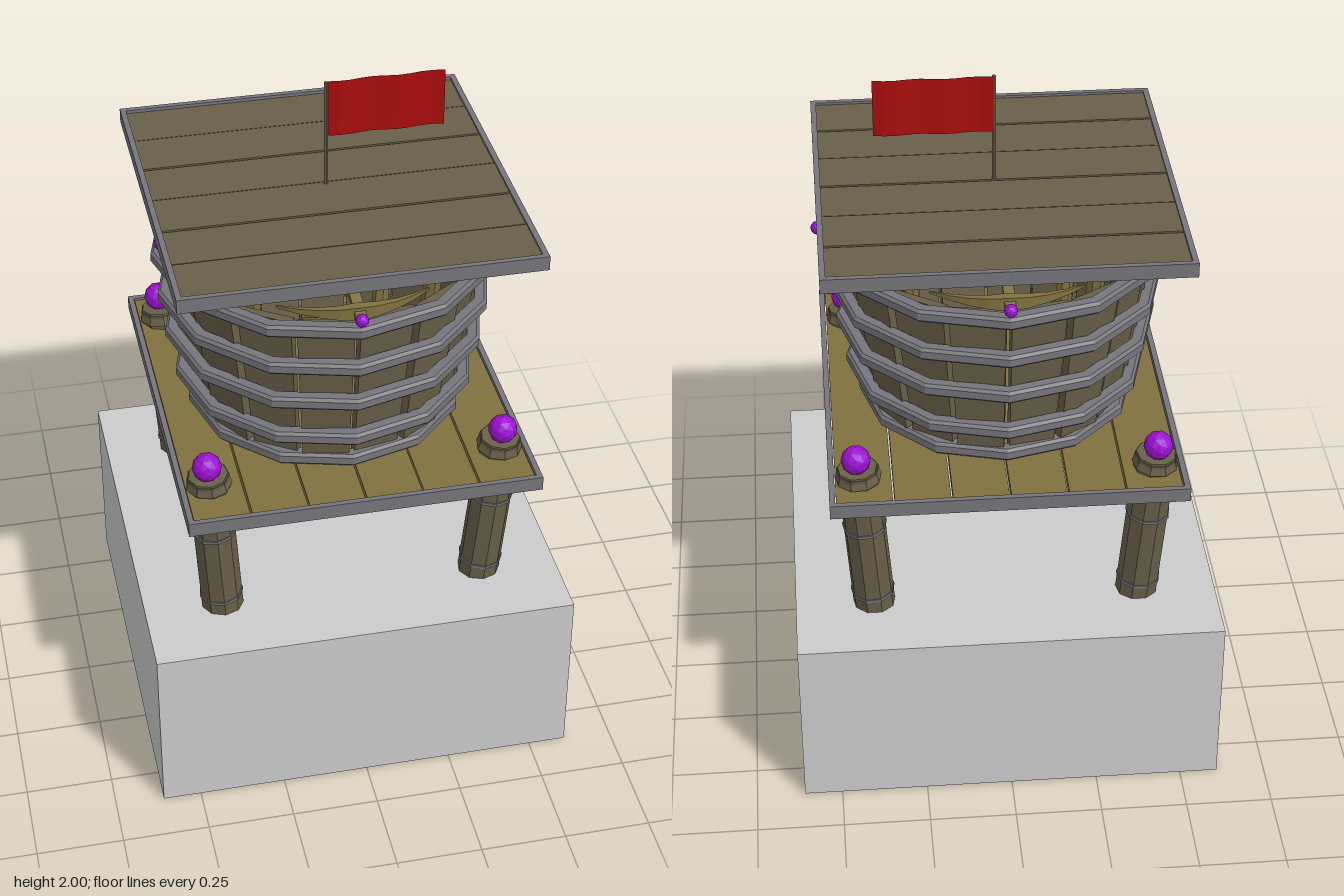
import * as THREE from 'three';

const mat = (color, extra = {}) => {
  const m = new THREE.MeshStandardMaterial({ color, flatShading: true });
  return Object.assign(m, extra);
};

export function createModel() {
  const model = new THREE.Group();
  const grey = mat(0xcccccc), wood = mat(0x696049), paleWood = mat(0x80713f);
  const iron = mat(0x75757b), purple = mat(0x9a10d0);
  const red = mat(0xaa0d0d, { side: THREE.DoubleSide });

  const add = (name, geo, material, x = 0, y = 0, z = 0, parent = model) => {
    const mesh = new THREE.Mesh(geo, material);
    mesh.name = name;
    mesh.position.set(x, y, z);
    parent.add(mesh);
    return mesh;
  };
  const box = (w, h, d) => new THREE.BoxGeometry(w, h, d);
  const up = new THREE.Vector3(0, 1, 0);
  // straight round post between two points
  const post = (name, a, b, rTop, rBottom, sides, material, parent = model) => {
    const dir = b.clone().sub(a);
    const mesh = add(name, new THREE.CylinderGeometry(rTop, rBottom, dir.length(), sides), material, 0, 0, 0, parent);
    mesh.position.copy(a).lerp(b, 0.5);
    mesh.quaternion.setFromUnitVectors(up, dir.normalize());
    return mesh;
  };

  // stone block
  add('base', box(1.22, 0.53, 1.22), grey, 0, 0.265, 0);

  // square deck: planks inside an iron frame
  const deck = (name, y, zc, depth, alongX, material) => {
    const g = new THREE.Group();
    g.name = name;
    g.position.set(0, y, zc);
    model.add(g);
    const t = 0.016, inW = 1.0 - 2 * t, inD = depth - 2 * t;
    const step = (alongX ? inD : inW) / 6;
    for (let i = 0; i < 6; i++) {
      const p = (i - 2.5) * step;
      const geo = alongX ? box(inW, 0.026, step - 0.005) : box(step - 0.005, 0.026, inD);
      add('plank', geo, material, alongX ? 0 : p, (i % 2) * 0.002, alongX ? p : 0, g);
    }
    for (const s of [-1, 1]) {
      add('frameSide', box(t, 0.042, depth), iron, s * (0.5 - t / 2), 0, 0, g);
      add('frameEnd', box(inW, 0.042, t), iron, 0, 0, s * (depth - t) / 2, g);
    }
  };
  deck('platform', 0.976, 0.018, 1.135, false, paleWood);
  deck('roof', 1.668, 0.015, 1.015, true, wood);

  // splayed legs with bands, collars and faceted knobs
  for (const sx of [-1, 1]) for (const sz of [-1, 1]) {
    const leg = new THREE.Group();
    leg.name = 'leg';
    model.add(leg);
    const a = new THREE.Vector3(sx * 0.382, 0.52, sz * 0.382);
    const b = new THREE.Vector3(sx * 0.418, 1.03, sz * 0.422);
    const at = y => a.clone().lerp(b, (y - a.y) / (b.y - a.y));
    post('legPost', a, b, 0.06, 0.061, 9, wood, leg);
    for (const y of [0.58, 0.825]) post('legBand', at(y - 0.005), at(y + 0.005), 0.064, 0.064, 9, iron, leg);
    post('legCollar', at(1.0), at(1.035), 0.056, 0.066, 9, wood, leg);
    add('knob', new THREE.IcosahedronGeometry(0.042, 1), purple, sx * 0.422, 1.066, sz * 0.431, leg);
  }

  // flared tub of staves and hoops
  const tub = new THREE.Group();
  tub.name = 'tub';
  tub.position.set(-0.005, 0, 0.025);
  model.add(tub);
  const staves = 16, y0 = 0.995, y1 = 1.515;
  for (let i = 0; i < staves; i++) {
    const geo = box(1, y1 - y0, 0.026);
    const p = geo.attributes.position;
    for (let k = 0; k < p.count; k++) {
      const top = p.getY(k) > 0;
      p.setX(k, p.getX(k) * (top ? 0.158 : 0.128));
      p.setZ(k, p.getZ(k) + (top ? 0.425 : 0.35) + (i % 2) * 0.008);
    }
    geo.computeVertexNormals();
    const stave = add('stave', geo, wood, 0, (y0 + y1) / 2, 0, tub);
    stave.rotation.y = ((i + 0.5) / staves) * Math.PI * 2;
  }
  for (const [y, r] of [[1.013, 0.4], [1.11, 0.435], [1.247, 0.46], [1.374, 0.477], [1.505, 0.492]]) {
    const h = 0.019, c = 0.008, inner = r - 0.036;
    const pts = [[inner, -h], [r - c, -h], [r, -h + c], [r, h - c], [r - c, h], [inner, h], [inner, -h]]
      .map(q => new THREE.Vector2(...q));
    add('hoop', new THREE.LatheGeometry(pts, 12), iron, 0, y, 0, tub);
  }

  // roof posts leaning outward
  for (const sx of [-1, 1]) for (const sz of [-1, 1]) {
    post('roofPost', new THREE.Vector3(sx * 0.21, 0.99, sz * 0.21),
      new THREE.Vector3(sx * 0.27, 1.658, sz * 0.27), 0.025, 0.025, 7, paleWood);
  }

  // four mounted bows on the rim: swept tapering limbs, sloping stock, small knob
  for (let i = 0; i < 4; i++) {
    const bow = new THREE.Group();
    bow.name = 'bow';
    bow.position.set(0.02 * (i === 1) + 0.02 * (i === 3), 0, 0);
    bow.rotation.y = (i * Math.PI) / 2;
    tub.add(bow);
    const limbs = new THREE.BoxGeometry(0.42, 0.042, 0.028, 8, 1, 1);
    const p = limbs.attributes.position;
    for (let k = 0; k < p.count; k++) {
      const u = Math.abs(p.getX(k)) / 0.21, taper = 1 - 0.85 * u;
      p.setY(k, p.getY(k) * taper);
      p.setZ(k, p.getZ(k) * taper - 0.07 * u * u);
    }
    limbs.computeVertexNormals();
    add('bowLimbs', limbs, paleWood, 0, 1.55, 0.445, bow);
    const stock = add('bowStock', box(0.03, 0.018, 0.2), paleWood, 0, 1.57, 0.375, bow);
    stock.rotation.x = 0.22;
    add('bowKnob', new THREE.IcosahedronGeometry(0.019, 1), purple, 0, 1.547, 0.483, bow);
  }

  // flag
  post('flagPole', new THREE.Vector3(0, 1.67, 0.025), new THREE.Vector3(0, 2, 0.025), 0.006, 0.006, 6, wood);
  const cloth = new THREE.PlaneGeometry(0.33, 0.168, 10, 1);
  const f = cloth.attributes.position;
  for (let k = 0; k < f.count; k++) f.setZ(k, 0.004 * Math.sin(f.getX(k) * 40));
  cloth.computeVertexNormals();
  add('flag', cloth, red, 0.168, 1.915, 0.021);

  return model;
}
